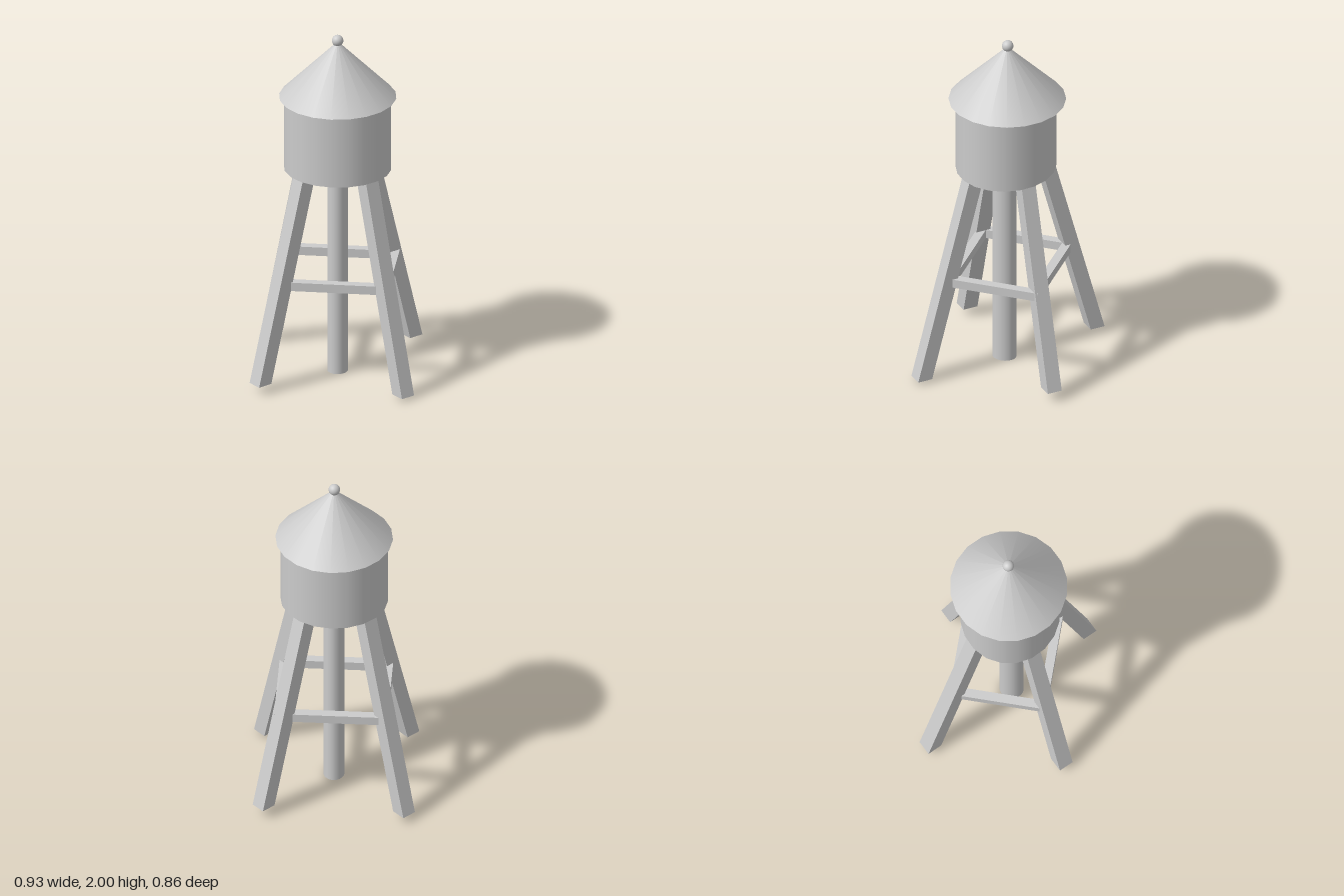
import * as THREE from 'three';

export function createModel() {
  const group = new THREE.Group();
  const material = new THREE.MeshStandardMaterial({ color: 0xcccccc });

  function add(name, geometry, x = 0, y = 0, z = 0) {
    const mesh = new THREE.Mesh(geometry, material);
    mesh.name = name;
    mesh.position.set(x, y, z);
    group.add(mesh);
    return mesh;
  }

  // Box whose horizontal square section slides from foot to top, turned 45 degrees
  function legGeometry(foot, top, width) {
    const geo = new THREE.BoxGeometry(width, 1, width).rotateY(Math.PI / 4);
    const p = geo.attributes.position;
    const a = new THREE.Vector3(...foot);
    const b = new THREE.Vector3(...top);
    const c = new THREE.Vector3();
    for (let i = 0; i < p.count; i++) {
      c.lerpVectors(a, b, p.getY(i) + 0.5);
      p.setXYZ(i, p.getX(i) + c.x, c.y, p.getZ(i) + c.z);
    }
    geo.computeVertexNormals();
    return geo;
  }

  // Tank and conical roof with ball finial
  add('tank', new THREE.CylinderGeometry(1, 1, 0.425, 20).scale(0.297, 1, 0.276), 0.001, 1.4225, 0.014);
  add('roof', new THREE.ConeGeometry(0.324, 0.33, 20), 0.001, 1.8, 0.006);
  add('finial', new THREE.SphereGeometry(0.032, 20, 14), 0, 1.968, 0.004);

  // Central riser pipe, slightly oval
  add('riserPipe', new THREE.CylinderGeometry(1, 1, 1.23, 20).scale(0.058, 1, 0.067), 0.003, 0.615, 0.022);

  // Four splayed legs: foot centre, top centre
  const legs = {
    frontLeftLeg: [[0.405, 0.018, 0.367], [0.178, 1.22, 0.142]],
    frontRightLeg: [[-0.385, 0.047, 0.367], [-0.166, 1.22, 0.142]],
    backLeftLeg: [[0.366, 0.059, -0.371], [0.15, 1.22, -0.146]],
    backRightLeg: [[-0.407, 0.042, -0.362], [-0.178, 1.22, -0.134]],
  };
  for (const [name, [foot, top]] of Object.entries(legs)) add(name, legGeometry(foot, top, 0.085));

  // Square ring of cross braces between the legs
  const t = 0.05, y = 0.591;
  const [x0, x1, z0, z1] = [-0.31, 0.315, -0.275, 0.267];
  const midX = (x0 + x1) / 2, midZ = (z0 + z1) / 2;
  add('frontBrace', new THREE.BoxGeometry(x1 - x0, t, t), midX, y, z1 - t / 2);
  add('backBrace', new THREE.BoxGeometry(x1 - x0, t, t), midX, y, z0 + t / 2);
  add('leftBrace', new THREE.BoxGeometry(t, t, z1 - z0), x1 - t / 2, y, midZ);
  add('rightBrace', new THREE.BoxGeometry(t, t, z1 - z0), x0 + t / 2, y, midZ);

  return group;
}
